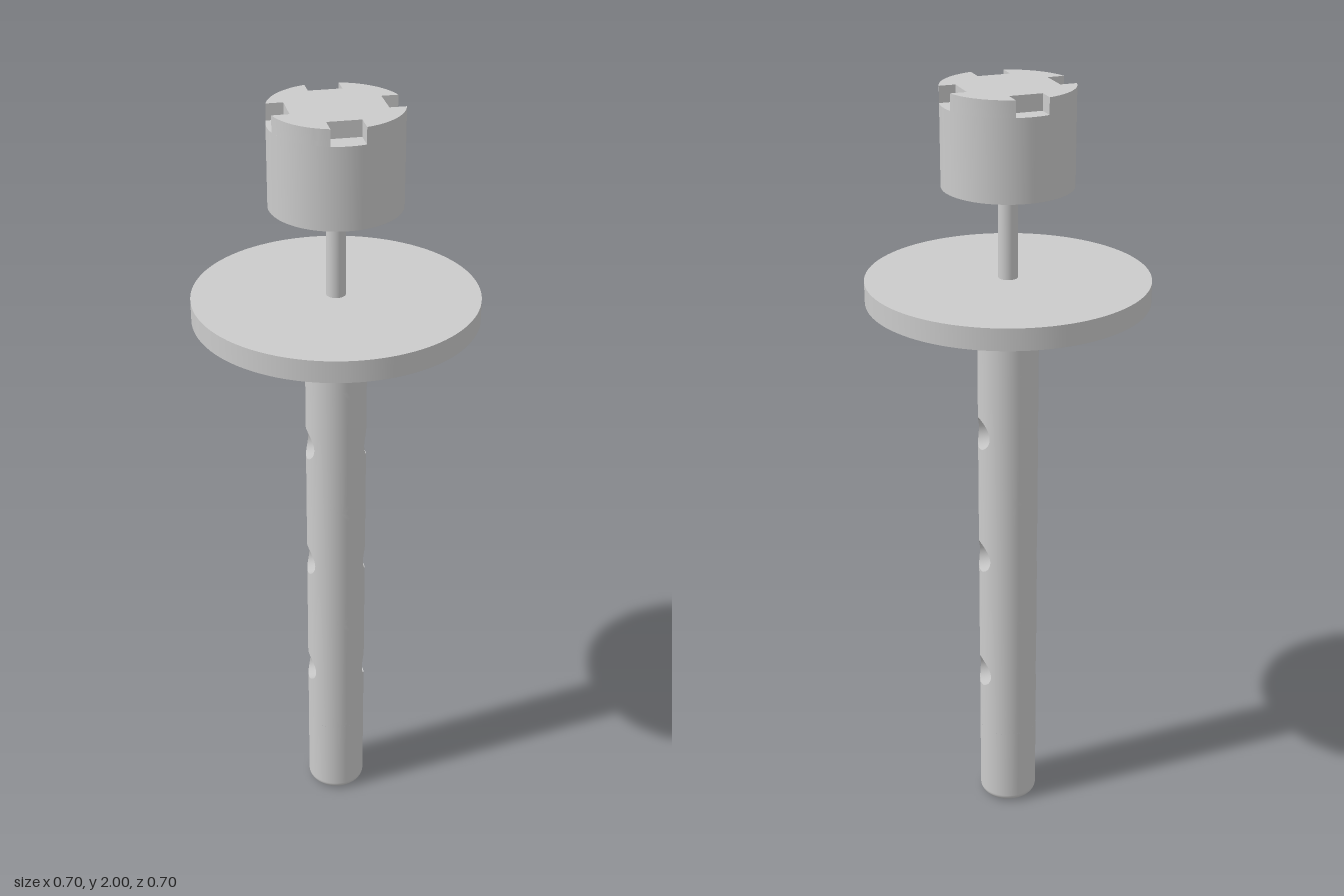
import * as THREE from 'three';
import { toCreasedNormals } from 'three/addons/utils/BufferGeometryUtils.js';
import { ParametricGeometry } from 'three/addons/geometries/ParametricGeometry.js';

const SHAFT_R = 0.077, HOLE_R = 0.042, HOLE_Y = 0.4065, PITCH = 0.3565;
const HEAD_R = 0.161, HEAD_BOTTOM = 1.76, NOTCH_Y = 1.96;

export function createModel() {
  const model = new THREE.Group();
  const material = new THREE.MeshStandardMaterial({ color: 0xcccccc });
  const add = (name, geometry, y = 0, parent = model) => {
    const mesh = new THREE.Mesh(geometry, material);
    mesh.name = name;
    mesh.position.y = y;
    parent.add(mesh);
    return mesh;
  };
  const cylinder = (name, r, y0, y1, parent) =>
    add(name, new THREE.CylinderGeometry(r, r, y1 - y0, 96), (y0 + y1) / 2, parent);

  // Shaft: rounded foot, three drilled bands, plain top
  const shaft = new THREE.Group();
  shaft.name = 'shaft';
  model.add(shaft);
  const fillet = 0.02;
  const foot = [new THREE.Vector2(0, 0)];
  for (let i = 0; i <= 8; i++) {
    const a = (i / 8) * Math.PI / 2;
    foot.push(new THREE.Vector2(SHAFT_R - fillet + fillet * Math.sin(a), fillet - fillet * Math.cos(a)));
  }
  foot.push(new THREE.Vector2(SHAFT_R, HOLE_Y - PITCH / 2));
  add('shaftFoot', new THREE.LatheGeometry(foot, 96), 0, shaft);
  cylinder('shaftTop', SHAFT_R, HOLE_Y + 2.5 * PITCH, 1.475, shaft);

  // Half of a band: blends from the hole's rim to the edges of the half cylinder
  const halfBand = new ParametricGeometry((u, v, target) => {
    const t = u * Math.PI * 2, c = Math.cos(t), s = Math.sin(t);
    const k = 1 / Math.max(Math.abs(c), Math.abs(s));
    const angle = THREE.MathUtils.lerp(Math.asin(HOLE_R * c / SHAFT_R), k * c * Math.PI / 2, v);
    const y = THREE.MathUtils.lerp(HOLE_R * s, k * s * PITCH / 2, v);
    target.set(SHAFT_R * Math.cos(angle), y, SHAFT_R * Math.sin(angle));
  }, 96, 16);

  // Inner wall of a cross hole, trimmed to the shaft's surface
  const holeWall = new ParametricGeometry((u, v, target) => {
    const t = u * Math.PI * 2, z = HOLE_R * Math.cos(t);
    target.set((2 * v - 1) * Math.sqrt(SHAFT_R ** 2 - z ** 2), HOLE_R * Math.sin(t), z);
  }, 96, 2);

  for (let i = 0; i < 3; i++) {
    const y = HOLE_Y + i * PITCH;
    add('drilledBandLeft', halfBand, y, shaft);
    add('drilledBandRight', halfBand, y, shaft).rotation.y = Math.PI;
    add('holeWall', holeWall, y, shaft);
  }

  // Flange and thin neck
  cylinder('flange', 0.352, 1.475, 1.53);
  cylinder('neck', 0.024, 1.53, HEAD_BOTTOM);

  // Head: solid drum with a notched crown
  const head = new THREE.Group();
  head.name = 'head';
  model.add(head);
  cylinder('headDrum', HEAD_R, HEAD_BOTTOM, NOTCH_Y, head);

  const half = 0.041;
  const notches = [[0.115, 0.001], [0.112, 0.003], [0.114, -0.001], [0.107, -0.003]]; // depth line, side offset
  const outline = [];
  notches.forEach(([inner, offset], k) => {
    const turn = k * Math.PI / 2, origin = new THREE.Vector2();
    const push = (x, y) => outline.push(new THREE.Vector2(x, y).rotateAround(origin, turn));
    const start = Math.asin((offset - half) / HEAD_R), end = Math.asin((offset + half) / HEAD_R);
    push(HEAD_R * Math.cos(start), HEAD_R * Math.sin(start));
    push(inner, offset - half);
    push(inner, offset + half);
    const next = Math.PI / 2 + Math.asin((notches[(k + 1) % 4][1] - half) / HEAD_R);
    for (let i = 0; i < 18; i++) {
      const a = THREE.MathUtils.lerp(end, next, i / 18);
      push(HEAD_R * Math.cos(a), HEAD_R * Math.sin(a));
    }
  });
  const crown = new THREE.ExtrudeGeometry(new THREE.Shape(outline), { depth: 2 - NOTCH_Y, bevelEnabled: false });
  crown.rotateX(-Math.PI / 2);
  add('notchedCrown', toCreasedNormals(crown, 0.5), NOTCH_Y, head);

  return model;
}
